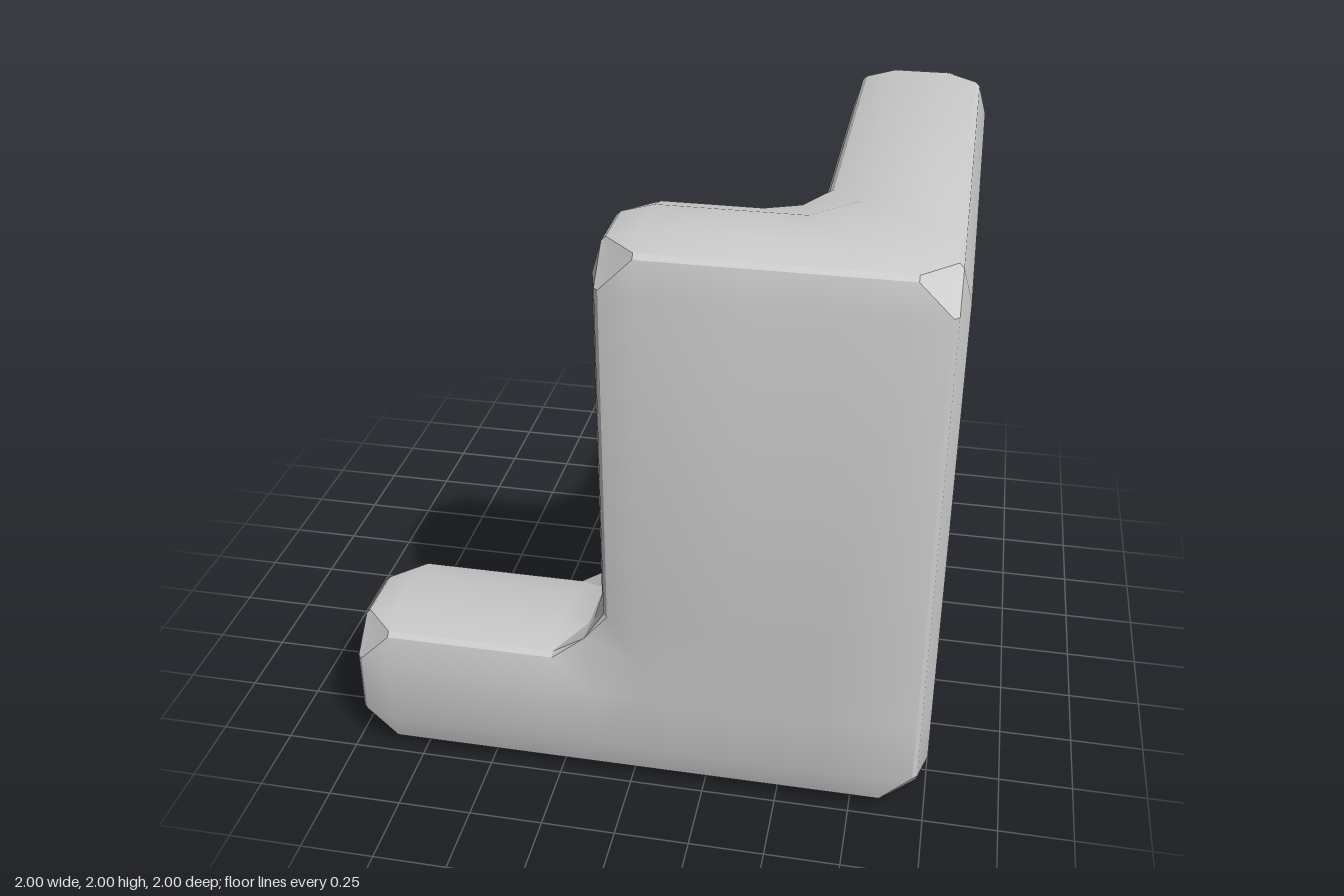
import * as THREE from 'three';
import { toCreasedNormals } from 'three/addons/utils/BufferGeometryUtils.js';

// Grid lines: the planes of the solid, plus a line 0.15 to each side for the softened bands
const GRID = [
  [-1, -0.85, -0.27, -0.12, 0.03, 0.35, 0.5, 0.65, 0.85, 1],
  [0, 0.15, 0.37, 0.52, 0.67, 1.85, 2],
  [-1, -0.85, 0.35, 0.5, 0.65, 0.85, 1],
];

// Is the grid cell solid? Side slab, or front slab with its low foot
function solid(c) {
  if (c.some((v, a) => v < 0 || v >= GRID[a].length - 1)) return false;
  const [x, y, z] = c.map((v, a) => (GRID[a][v] + GRID[a][v + 1]) / 2);
  return x > 0.5 || (z > 0.5 && (x > -0.12 || y < 0.52));
}

// Counts the solid cells round a grid point and which way they lie
function surroundings(p) {
  const lean = [0, 0, 0];
  let count = 0;
  for (let o = 0; o < 8; o++) {
    const d = [o & 1, (o >> 1) & 1, o >> 2];
    if (!solid(p.map((v, a) => v - 1 + d[a]))) continue;
    count++;
    d.forEach((s, a) => { lean[a] += s ? 1 : -1; });
  }
  return { lean, count };
}

// Pulls convex edges and corners in and pushes concave ones out
function softened(p, faceAxis) {
  const { lean, count } = surroundings(p);
  return p.map((v, a) => {
    const inward = Math.sign(lean[a]);
    let move = 0;
    if (count === 1) move = 0.077;
    else if (count === 2) move = a === faceAxis ? 0.03 : 0.045;
    else if (count === 3) move = Math.abs(lean[a]) === 3 ? 0.045 : -0.04;
    else if (count === 6) move = a === faceAxis ? -0.03 : -0.045;
    return GRID[a][v] + inward * move;
  });
}

function bevelledSolid() {
  const positions = [];
  const edges = new Map();
  const triangle = (a, b, c) => {
    const area = new THREE.Vector3().subVectors(new THREE.Vector3(...b), new THREE.Vector3(...a))
      .cross(new THREE.Vector3().subVectors(new THREE.Vector3(...c), new THREE.Vector3(...a))).length();
    if (area > 1e-8) positions.push(...a, ...b, ...c);
  };

  function face(cell, axis, dir) {
    const u = (axis + 1) % 3, v = (axis + 2) % 3;
    let corners = [[0, 0], [1, 0], [1, 1], [0, 1]].map(([du, dv]) => {
      const p = [...cell];
      p[u] += du;
      p[v] += dv;
      if (dir > 0) p[axis] += 1;
      return p;
    });
    if (dir < 0) corners.reverse();
    const pts = corners.map((p) => softened(p, axis));
    // Split so that a corner point stays in its own flat triangle
    const isCorner = corners.map((p) => surroundings(p).count % 2 === 1);
    const s = isCorner[0] || isCorner[2] ? 1 : 0;
    triangle(pts[s], pts[s + 1], pts[s + 2]);
    triangle(pts[s], pts[s + 2], pts[(s + 3) % 4]);
    for (let i = 0; i < 4; i++) {
      const j = (i + 1) % 4;
      const key = [corners[i].join(), corners[j].join()].sort().join('|');
      if (!edges.has(key)) edges.set(key, []);
      edges.get(key).push({ axis, a: pts[i], b: pts[j] });
    }
  }

  for (let i = 0; i < GRID[0].length - 1; i++)
    for (let j = 0; j < GRID[1].length - 1; j++)
      for (let k = 0; k < GRID[2].length - 1; k++) {
        const cell = [i, j, k];
        if (!solid(cell)) continue;
        for (let axis = 0; axis < 3; axis++)
          for (const dir of [-1, 1]) {
            const next = [...cell];
            next[axis] += dir;
            if (!solid(next)) face(cell, axis, dir);
          }
      }

  // Narrow chamfer between two faces that meet at an angle
  for (const [f, g] of edges.values()) {
    if (!g || f.axis === g.axis) continue;
    triangle(f.b, f.a, g.b);
    triangle(f.b, g.b, g.a);
  }

  const geometry = new THREE.BufferGeometry();
  geometry.setAttribute('position', new THREE.Float32BufferAttribute(positions, 3));
  return toCreasedNormals(geometry, 0.42);
}

export function createModel() {
  const group = new THREE.Group();
  group.name = 'cornerBlock';
  const block = new THREE.Mesh(bevelledSolid(), new THREE.MeshStandardMaterial({ color: 0xcccccc }));
  block.name = 'bevelledCornerWall';
  group.add(block);
  return group;
}
